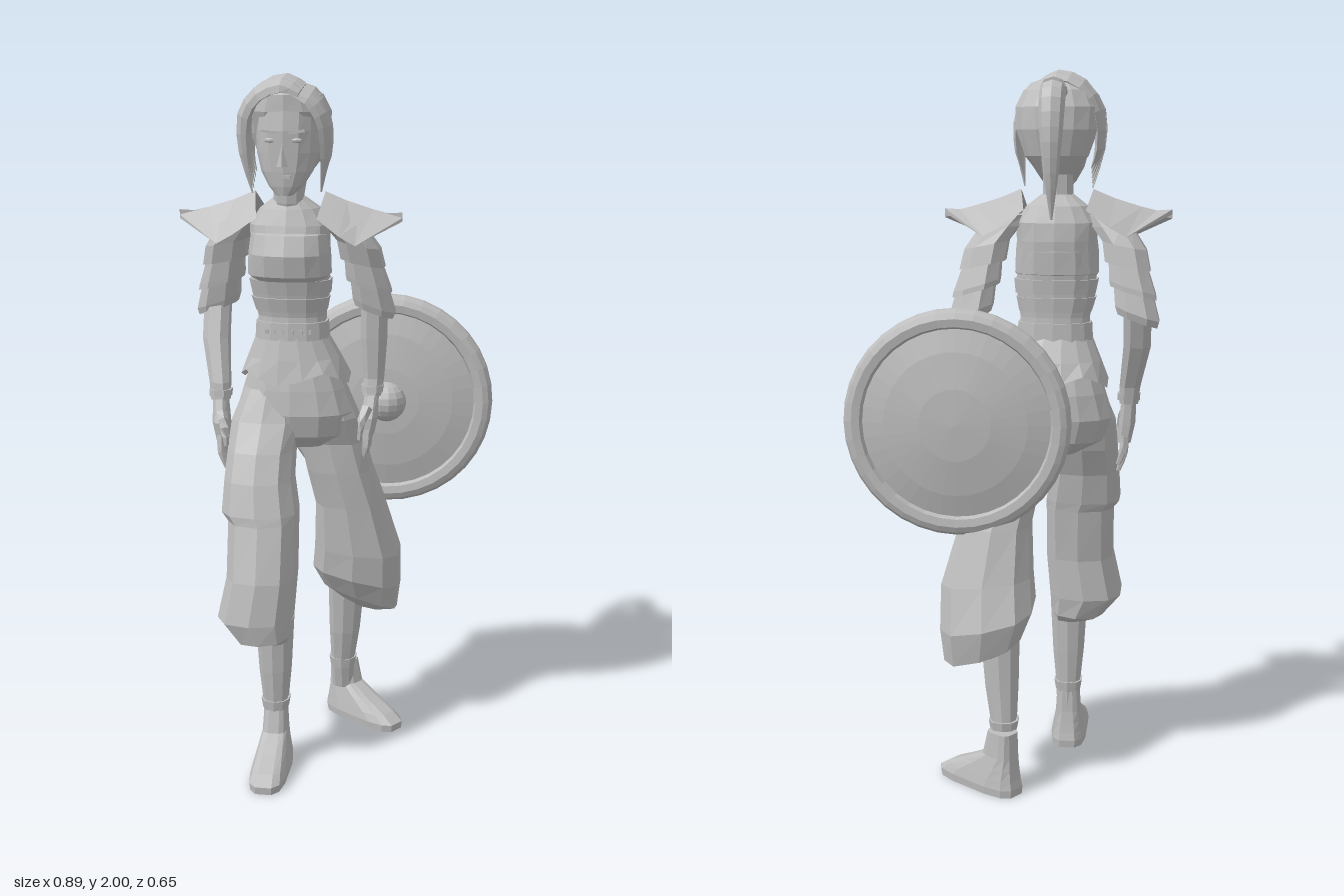
import * as THREE from 'three';

const grey = new THREE.MeshStandardMaterial({ color: 0xbdbdbd, flatShading: true, side: THREE.DoubleSide });
grey.name = 'light grey';
const MID = -0.13; // body centre line

function add(parent, geometry, name) {
  const mesh = new THREE.Mesh(geometry, grey);
  mesh.name = name;
  parent.add(mesh);
  return mesh;
}

// Skin rings of points (arrays of Vector3, all the same length)
function skin(rings, capped = true) {
  const n = rings[0].length, pos = [], idx = [];
  rings.forEach(r => r.forEach(p => pos.push(p.x, p.y, p.z)));
  for (let j = 0; j < rings.length - 1; j++) {
    for (let i = 0; i < n; i++) {
      const k = (i + 1) % n, a = j * n + i, b = j * n + k;
      idx.push(a, a + n, b, b, a + n, b + n);
    }
  }
  if (capped) [0, rings.length - 1].forEach(j => {
    for (let i = 1; i < n - 1; i++) {
      const a = j * n;
      if (j) idx.push(a, a + i + 1, a + i); else idx.push(a, a + i, a + i + 1);
    }
  });
  const g = new THREE.BufferGeometry();
  g.setAttribute('position', new THREE.Float32BufferAttribute(pos, 3));
  g.setIndex(idx);
  g.computeVertexNormals();
  return g;
}

// Level sections, bottom to top: [y, cx, cz, rx, rz, tilt along x, tilt along z]
function loft(sections, n = 10, power = 0.85, capped = true) {
  const bulge = v => Math.sign(v) * Math.abs(v) ** power;
  return skin(sections.map(([y, cx, cz, rx, rz = rx, tx = 0, tz = 0]) =>
    Array.from({ length: n }, (_, i) => {
      const a = (i + 0.5) / n * Math.PI * 2;
      const dx = bulge(Math.cos(a)) * rx, dz = bulge(Math.sin(a)) * rz;
      return new THREE.Vector3(cx + dx, y + tx * dx + tz * dz, cz + dz);
    })), capped);
}

// Tapered sweep along a curve; thin is the thickness across the direction away from centre
function sweep(points, radii, n = 6, steps = 8, thin = 1, centre = new THREE.Vector3(MID, 1.84, -0.4)) {
  const curve = new THREE.CatmullRomCurve3(points.map(p => new THREE.Vector3(...p)));
  return skin(Array.from({ length: steps + 1 }, (_, s) => {
    const u = s / steps, f = u * (radii.length - 1), k = Math.min(Math.floor(f), radii.length - 2);
    const r = THREE.MathUtils.lerp(radii[k], radii[k + 1], f - k);
    const p = curve.getPoint(u), t = curve.getTangent(u);
    const out = p.clone().sub(centre);
    out.addScaledVector(t, -out.dot(t)).normalize();
    const across = t.clone().cross(out);
    return Array.from({ length: n }, (_, i) => {
      const a = -i / n * Math.PI * 2;
      return p.clone().addScaledVector(across, Math.cos(a) * r).addScaledVector(out, Math.sin(a) * r * thin);
    });
  }));
}

function buildTorso(g) {
  add(g, loft([[1.24, -.127, -.045, .1, .075], [1.33, -.127, -.045, .098, .07], [1.4, -.13, -.04, .112, .078],
    [1.46, -.13, -.035, .112, .09], [1.54, -.13, -.035, .112, .095], [1.59, MID, -.04, .115, .085],
    [1.635, MID, -.04, .085, .068], [1.665, MID, -.03, .045, .045]], 14), 'torso');
  add(g, loft([[1.435, MID, -.03, .1, .085], [1.45, MID, -.025, .118, .1], [1.51, MID, -.022, .116, .107],
    [1.565, MID, -.03, .11, .095], [1.57, MID, -.03, .1, .08]], 14), 'breastplate');
  [1.345, 1.395].forEach((y, i) => add(g, loft([[y, -.128, -.043, .103 + i * .01, .077 + i * .005],
    [y + .04, -.13, -.04, .113 + i * .006, .084 + i * .005]], 14), 'corsetBand'));
  add(g, loft([[1.265, -.127, -.045, .107, .083], [1.315, -.127, -.045, .104, .08]], 14), 'belt');
  for (let i = 0; i < 6; i++) {
    add(g, new THREE.BoxGeometry(.009, .012, .006), 'beltStud').position.set(-.19 + i * .025, 1.29, .036 - Math.abs(i - 2.5) * .003);
  }
  // Flared tunic hem, with alternate corners dropped
  const skirt = loft([[1.15, -.12, -.06, .16, .122], [1.21, -.123, -.055, .135, .104], [1.275, -.127, -.045, .104, .08]], 16, .9, false);
  const p = skirt.attributes.position;
  for (let i = 0; i < 16; i++) p.setY(i, 1.155 + (i % 4 === 0 ? -.02 : i % 4 === 2 ? .02 : 0));
  add(g, skirt, 'tunicHem');
  add(g, loft([[.945, -.11, -.065, .08, .06], [.985, -.118, -.06, .15, .1], [1.05, -.122, -.058, .172, .114],
    [1.12, -.122, -.06, .15, .108], [1.22, -.125, -.055, .115, .085]], 14), 'trouserSeat');
  add(g, loft([[1.61, MID, -.03, .05, .045], [1.65, MID, -.015, .043, .042], [1.74, MID, -.01, .043, .045]], 10), 'neck');
}

function buildLegs(g) {
  add(g, loft([[.4, -.165, .115, .05, .07], [.42, -.185, .13, .078, .115, .06], [.48, -.21, .128, .108, .127], [.6, -.192, .12, .1, .117],
    [.755, -.193, .085, .1, .104], [.78, -.203, .079, .11, .105], [.87, -.209, .055, .1, .1], [.95, -.207, .02, .098, .1],
    [1.03, -.2, -.015, .1, .088], [1.12, -.19, -.05, .075, .085]], 10, .75), 'rightTrouserLeg');
  add(g, loft([[.39, .065, -.225, .06, .06, -.25, .1], [.42, .055, -.205, .112, .105, -.32, .25], [.5, .045, -.192, .134, .135, -.22, .12],
    [.6, .05, -.167, .13, .122, -.1], [.75, .03, -.14, .103, .104], [.86, .002, -.115, .098, .09], [.95, -.018, -.1, .096, .08],
    [1.03, -.035, -.075, .097, .09], [1.12, -.05, -.065, .075, .085]], 10, .75), 'leftTrouserLeg');
  // Shin, ankle wrap and boot, toe along local z
  [['right', -.16, .1, 0, 0, .005, 0], ['left', -.005, -.235, .95, .015, .03, -.035]].forEach(([side, x, z, turn, kx, kz, back]) => {
    add(g, loft([[.1, x, z + back * .5, .035, .04], [.19, x, z, .036, .042], [.3, x + kx * .5, z + kz * .5, .047, .052],
      [.46, x + kx, z + kz, .056, .062]], 10), side + 'Shin');
    add(g, loft([[.175, x, z, .038, .044], [.205, x, z, .043, .048]], 10), side + 'AnkleCuff');
    const boot = add(g, loft([[0, 0, .085, .052, .14], [.022, 0, .085, .054, .142], [.045, 0, .07, .05, .122], [.075, 0, .04, .044, .087],
      [.11, 0, .008, .037, .05], [.18, 0, 0, .033, .04]], 12, .6), side + 'Boot');
    boot.position.set(x, 0, z + back);
    boot.rotation.y = turn;
  });
}

function buildArm(g, s) {
  const side = s > 0 ? 'left' : 'right', X = d => MID + s * d;
  // The two hands hang at different depths
  const handZ = s > 0 ? -.12 : -.005, handX = s > 0 ? .225 : .205;
  // Sleeve in three tiers, each flaring at its lower edge
  add(g, loft([[1.475, X(.2), -.095, .066, .066, -s * .2], [1.53, X(.19), -.08, .064, .066, -s * .2], [1.58, X(.155), -.06, .058, .058],
    [1.61, X(.12), -.045, .035, .045]], 8), side + 'UpperSleeve');
  add(g, loft([[1.405, X(.217), -.112, .067, .066, -s * .3], [1.42, X(.214), -.11, .067, .066, -s * .3],
    [1.49, X(.2), -.095, .056, .058, -s * .3]], 8), side + 'MiddleSleeve');
  add(g, loft([[1.33, X(.23), -.128, .058, .056, -s * .35], [1.35, X(.229), -.127, .064, .062, -s * .35],
    [1.425, X(.215), -.11, .056, .057, -s * .3]], 8), side + 'SleeveCuff');
  add(g, loft([[1.08, X(handX), handZ - .01, .028, .032], [1.13, X(handX + .003), handZ - .02, .031, .034],
    [1.25, X(.228), (handZ - .15) / 2, .04, .042], [1.38, X(.23), -.125, .04, .042]], 8), side + 'Forearm');
  add(g, loft([[1.09, X(handX), handZ - .01, .033], [1.11, X(handX), handZ - .013, .034]], 8), side + 'WristBand');
  add(g, loft([[.965, X(handX - .012), handZ + .01, .02, .043], [1.02, X(handX - .005), handZ + .008, .025, .045],
    [1.09, X(handX), handZ - .01, .022, .028]], 8), side + 'Palm');
  for (let i = 0; i < 4; i++) {
    const z = handZ - .025 + i * .023, len = [.075, .1, .105, .09][i];
    add(g, sweep([[X(handX - .01), .985, z], [X(handX - .013), .985 - len * .55, z + (i - 1) * .004],
      [X(handX - .028), .98 - len, z + (i - 1) * .005]], [.013, .012, .006], 5, 4), side + 'Finger');
  }
  add(g, sweep([[X(handX - .01), 1.05, handZ + .035], [X(handX - .025), 1.01, handZ + .062], [X(handX - .03), .96, handZ + .068]],
    [.017, .014, .007], 5, 4), side + 'Thumb');

  // Pointed shoulder plate: a ridge with a front and a back edge meeting at the tip
  const ridge = [[.1, 1.68, -.04], [.16, 1.655, -.04], [.235, 1.632, -.037], [.317, 1.612, -.028]];
  const front = [[.085, 1.61, .035], [.15, 1.565, .056], [.195, 1.54, .056], [.317, 1.61, -.028]];
  const back = front.map(([x, y, z], i) => [x, y + .015, i === 3 ? z : -.085 - z]);
  const strips = [front, ridge, back].map(r => r.map(([d, y, z]) => new THREE.Vector3(X(d), y, z)));
  strips.push(strips[1].map(p => p.clone().add(new THREE.Vector3(0, -.012, 0))));
  const ends = [0, 1, 2, 3].map(k => strips.map(r => r[k]));
  add(g, skin(ends, false), side + 'ShoulderPlate');
}

function buildHead(g) {
  add(g, loft([[1.675, MID - .002, .042, .022, .022], [1.7, MID, .025, .048, .045], [1.74, MID, .005, .072, .069], [1.79, MID, -.012, .086, .088],
    [1.85, MID, -.022, .09, .1], [1.91, MID, -.025, .09, .095], [1.95, MID, -.025, .06, .07]], 14, .9), 'head');
  const nose = add(g, new THREE.ConeGeometry(.016, .06, 4), 'nose');
  nose.position.set(MID - .002, 1.785, .078);
  nose.scale.z = .9;
  [-1, 1].forEach(s => {
    const eye = add(g, new THREE.SphereGeometry(.014, 8, 5), 'eye');
    eye.position.set(MID + s * .036, 1.825, .069);
    eye.scale.set(1.2, .5, .4);
    const brow = add(g, new THREE.BoxGeometry(.045, .007, .012), 'brow');
    brow.position.set(MID + s * .038, 1.848, .07);
    brow.rotation.z = s * .15;
  });
  add(g, new THREE.BoxGeometry(.038, .008, .008), 'mouth').position.set(MID, 1.727, .07);

  // Hair cap behind the face
  add(g, loft([[1.72, MID, -.05, .05, .045], [1.77, MID, -.06, .088, .07], [1.84, MID, -.053, .113, .094], [1.9, MID, -.037, .117, .108],
    [1.945, MID, -.027, .095, .097], [1.972, MID, -.025, .055, .06]], 14, .95), 'hairCap');
  const core = new THREE.Vector3(MID, 1.82, -.03);
  // Locks swept over the crown from the parting to the right temple
  for (let i = 0; i < 5; i++) {
    const z = -.068 + i * .039, drop = Math.abs(i - 1.5) * .007;
    add(g, sweep([[-.08, 1.968 - drop, z + .008], [-.13, 1.989 - drop, z + .004], [-.195, 1.966 - drop, z], [-.238, 1.89, z * .85],
      [-.243, 1.79, z * .65], [-.222, 1.68 + (4 - i) * .014, z * .4 + .005]], [.016, .03, .03, .028, .02, .003], 6, 10, .5, core), 'rightHairLock');
  }
  // Locks from the parting down the left temple
  for (let i = 0; i < 4; i++) {
    const z = -.02 + i * .032;
    add(g, sweep([[-.1, 1.972 - i * .006, z + .012], [-.055, 1.952 - i * .006, z + .008], [-.022, 1.88, z], [-.017, 1.79, z * .75],
      [-.032, 1.685 + (3 - i) * .012, z * .4]], [.014, .026, .026, .02, .003], 6, 9, .45, core), 'leftHairLock');
  }
  add(g, sweep([[MID, 1.93, -.115], [MID, 1.95, -.165], [MID, 1.922, -.21], [MID, 1.83, -.234], [MID, 1.72, -.232], [MID, 1.605, -.215]],
    [.033, .035, .036, .031, .02, .003], 8, 14, .8), 'ponytail');
}

// Round shield, profile turned about its own axis and faced along z
function buildShield(g) {
  const profile = [[0, -.052], [.1, -.047], [.2, -.032], [.262, -.016], [.268, -.03], [.29, -.033], [.306, -.026], [.316, -.01],
    [.316, .01], [.306, .026], [.29, .033], [.268, .03], [.262, .016], [.2, .03], [.1, .042], [0, .046]];
  const disc = add(g, new THREE.LatheGeometry(profile.map(p => new THREE.Vector2(...p)), 36), 'shieldDisc');
  disc.rotation.x = Math.PI / 2;
  disc.position.set(.128, 1.05, -.212);
  const boss = add(g, new THREE.SphereGeometry(.06, 14, 10), 'shieldBoss');
  boss.position.set(.132, 1.05, -.172);
}

export function createModel() {
  const model = new THREE.Group();
  model.name = 'shieldBearer';
  const part = (name, build) => {
    const group = new THREE.Group();
    group.name = name;
    build(group);
    model.add(group);
  };
  part('body', buildTorso);
  part('legs', buildLegs);
  part('rightArm', g => buildArm(g, -1));
  part('leftArm', g => buildArm(g, 1));
  part('headAndHair', buildHead);
  part('shield', buildShield);
  return model;
}
